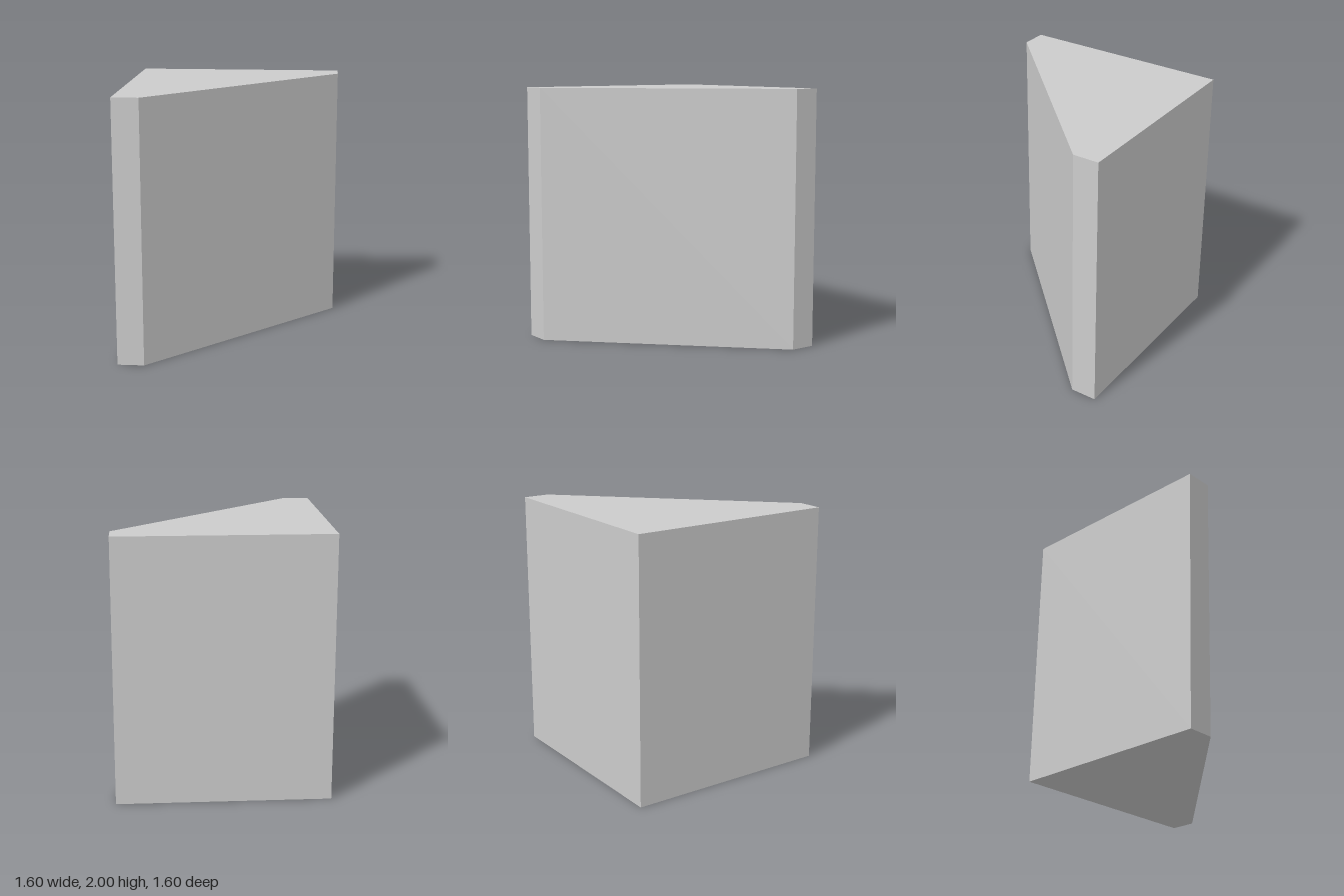
import * as THREE from 'three';

// Corner block: a square column cut by a diagonal face, leaving two narrow end strips
export function createModel() {
  const half = 0.8, strip = 0.2, height = 2;

  // Footprint as (x, -z), counter-clockwise
  const footprint = new THREE.Shape([
    new THREE.Vector2(-half, -half),
    new THREE.Vector2(-half + strip, -half),
    new THREE.Vector2(half, half - strip),
    new THREE.Vector2(half, half),
    new THREE.Vector2(-half, half),
  ]);

  // Extrude, then stand upright on the ground
  const geometry = new THREE.ExtrudeGeometry(footprint, { depth: height, bevelEnabled: false });
  geometry.rotateX(-Math.PI / 2);

  const block = new THREE.Mesh(
    geometry,
    new THREE.MeshStandardMaterial({ color: 0xcccccc, flatShading: true })
  );
  block.name = 'cornerBlock';

  const group = new THREE.Group();
  group.name = 'diagonalCornerBlock';
  group.add(block);
  return group;
}
